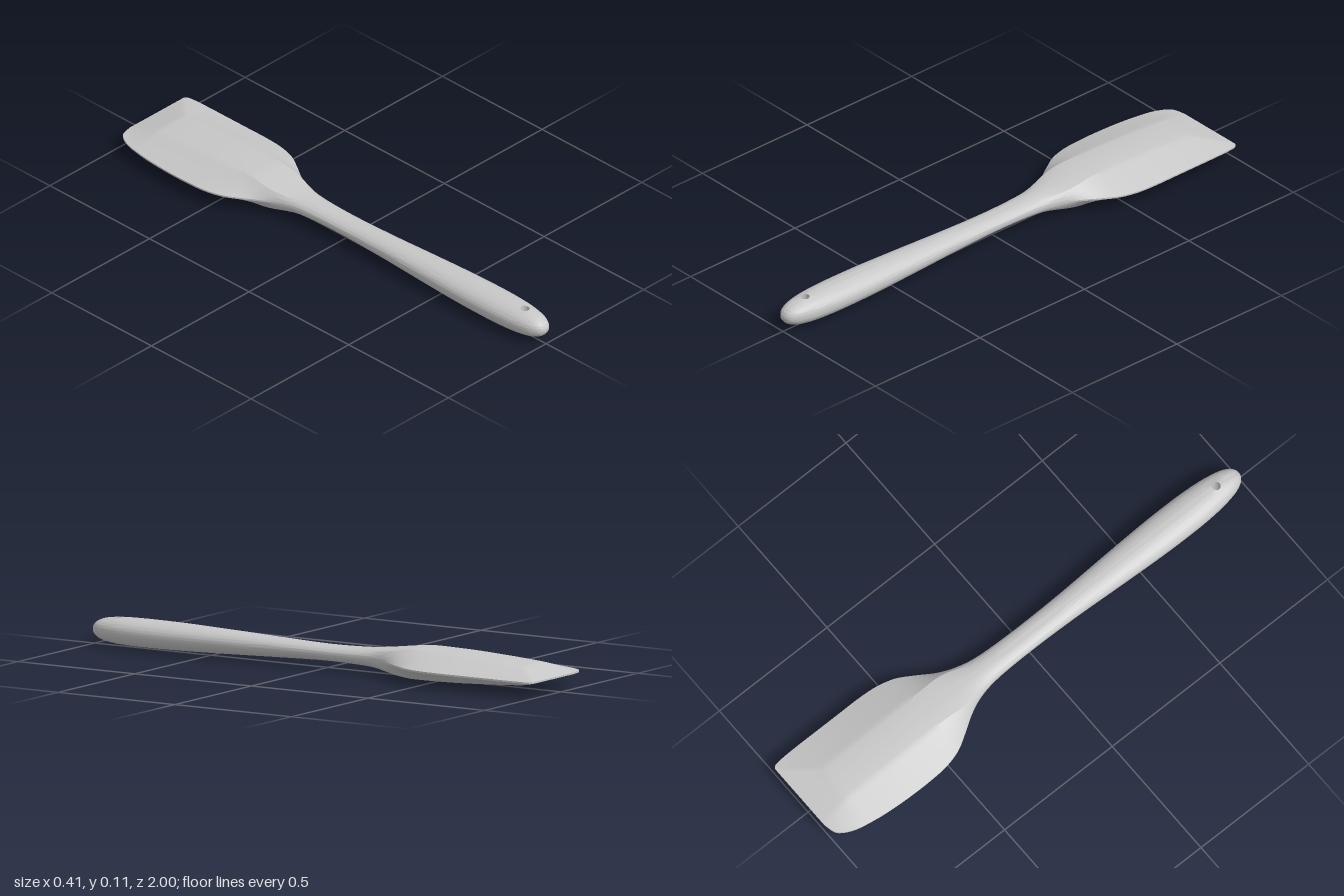
import * as THREE from 'three';
import { toCreasedNormals } from 'three/addons/utils/BufferGeometryUtils.js';

const N = 32;            // columns across the upper side
const EDGE = 0.003;      // half thickness of the rim
const MID = 0.06;        // height of the centre plane
const HOLE = { z: 0.895, r: 0.016 };

// Stations along the length: z, half width on -x, half width on +x, half height
const STATIONS = [
  [-1, 0.09, 0.188, 0.02], [-0.99, 0.132, 0.196, 0.022], [-0.97, 0.154, 0.2, 0.025],
  [-0.93, 0.174, 0.202, 0.031], [-0.88, 0.186, 0.203, 0.036], [-0.8, 0.197, 0.203, 0.042],
  [-0.7, 0.203, 0.203, 0.048], [-0.6, 0.203, 0.203, 0.053], [-0.52, 0.197, 0.197, 0.055],
  [-0.45, 0.178, 0.178, 0.056], [-0.39, 0.144, 0.144, 0.055], [-0.32, 0.1, 0.1, 0.048],
  [-0.25, 0.07, 0.07, 0.04], [-0.16, 0.054, 0.054, 0.033], [0, 0.049, 0.049, 0.03],
  [0.2, 0.052, 0.052, 0.036], [0.4, 0.061, 0.061, 0.043], [0.6, 0.069, 0.069, 0.049],
  [0.75, 0.07, 0.07, 0.051], [0.84, 0.066, 0.066, 0.0505], [0.9, 0.059, 0.059, 0.048],
  [0.95, 0.048, 0.048, 0.041], [0.98, 0.034, 0.034, 0.03], [0.994, 0.021, 0.021, 0.018],
  [1, 0.008, 0.008, 0.006],
];

// Smoothly interpolated stations
function sampleRows(perSpan) {
  const curves = [1, 2, 3].map(c => new THREE.SplineCurve(STATIONS.map(s => new THREE.Vector2(s[0], s[c]))));
  const count = (STATIONS.length - 1) * perSpan;
  return Array.from({ length: count + 1 }, (_, j) => {
    const p = curves.map(c => c.getPoint(j / count));
    const z = p[0].x;
    // The far end of the blade is bevelled down to the rim
    const h = Math.min(p[2].y, EDGE + (z + 1) * 0.275);
    return { z, left: p[0].y, right: p[1].y, h };
  });
}

// Upper half of one cross-section, from -x to +x
function upperSection({ z, left, right, h }) {
  const blade = 1 - THREE.MathUtils.smoothstep(z, -0.42, -0.18);
  const fan = Math.max(0, (-0.88 - z) / 0.12);
  const pts = [];
  for (let k = 0; k <= N; k++) {
    const u = (2 * k) / N - 1, a = Math.abs(u), side = Math.sign(u);
    const w = u < 0 ? left : right;
    // Rounded handle section
    const hx = w * Math.sin(a * Math.PI / 2);
    const hy = EDGE + (h - EDGE) * Math.cos(a * Math.PI / 2);
    // Blade section: crowned middle, straight flanks to the rim
    const ridge = Math.min(0.07 + fan * (u < 0 ? 0.015 : 0.115), w * 0.97);
    const shoulder = Math.max(EDGE, h * 0.94);
    const v = (a - 0.5) * 2;
    const bx = a <= 0.5 ? ridge * a * 2 : ridge + (w - ridge) * v;
    const by = a <= 0.5 ? h + (shoulder - h) * 4 * a * a : shoulder + (EDGE - shoulder) * v;
    const mix = THREE.MathUtils.lerp;
    pts.push([side * mix(hx, bx, blade), mix(hy, by, blade), z]);
  }
  return pts;
}

function spatulaGeometry() {
  const rows = sampleRows(5);
  const top = rows.map(upperSection);
  const flip = p => [p[0], -p[1], p[2]];
  const rings = top.map(t => [...t, ...t.map(flip).reverse()]);
  const M = 2 * (N + 1), last = rings.length - 1;
  const pos = [];
  const quad = (a, b, c, d) => [a, b, c, a, c, d].forEach(p => pos.push(p[0], p[1] + MID, p[2]));

  // Patch of cells to be opened around the hanging hole
  const near = rows.map((r, j) => (Math.abs(r.z - HOLE.z) < 0.042 ? j : -1)).filter(j => j >= 0);
  const j0 = near[0], j1 = near[near.length - 1], k0 = N / 2 - 6, k1 = N / 2 + 6;
  const inPatch = (j, k) => {
    const m = k > N ? M - 2 - k : k;
    return j >= j0 && j < j1 && m >= k0 && m < k1;
  };

  // Skin
  for (let j = 0; j < last; j++) {
    for (let k = 0; k < M; k++) {
      if (inPatch(j, k)) continue;
      const n = (k + 1) % M;
      quad(rings[j][k], rings[j + 1][k], rings[j + 1][n], rings[j][n]);
    }
  }

  // Closed ends
  for (let k = 0; k < N; k++) {
    const [s, e] = [top[0], top[last]];
    quad(s[k], s[k + 1], flip(s[k + 1]), flip(s[k]));
    quad(e[k + 1], e[k], flip(e[k]), flip(e[k + 1]));
  }

  // Border of the patch, and the hole rim facing it
  const border = [];
  for (let k = k0; k < k1; k++) border.push(top[j0][k]);
  for (let j = j0; j < j1; j++) border.push(top[j][k1]);
  for (let k = k1; k > k0; k--) border.push(top[j1][k]);
  for (let j = j1; j > j0; j--) border.push(top[j][k0]);
  const slope = (rows[j1].h - rows[j0].h) / (rows[j1].z - rows[j0].z);
  const c = rows[(j0 + j1) >> 1];
  const rim = border.map(([x, , z]) => {
    const a = Math.atan2(z - HOLE.z, x);
    const rx = HOLE.r * Math.cos(a), rz = HOLE.z + HOLE.r * Math.sin(a);
    return [rx, c.h * Math.sqrt(1 - (rx / c.right) ** 2) + slope * (rz - c.z), rz];
  });
  border.forEach((p, m) => {
    const n = (m + 1) % border.length;
    quad(p, rim[m], rim[n], border[n]);
    quad(flip(border[n]), flip(rim[n]), flip(rim[m]), flip(p));
    quad(rim[m], flip(rim[m]), flip(rim[n]), rim[n]);
  });

  const g = new THREE.BufferGeometry();
  g.setAttribute('position', new THREE.Float32BufferAttribute(pos, 3));
  return toCreasedNormals(g, 0.33);
}

export function createModel() {
  const silicone = new THREE.MeshStandardMaterial({ color: 0xc8c8c8 });
  silicone.name = 'light grey silicone';
  const body = new THREE.Mesh(spatulaGeometry(), silicone);
  body.name = 'spatulaBladeAndHandle';
  const group = new THREE.Group();
  group.name = 'spatula';
  group.add(body);
  return group;
}
